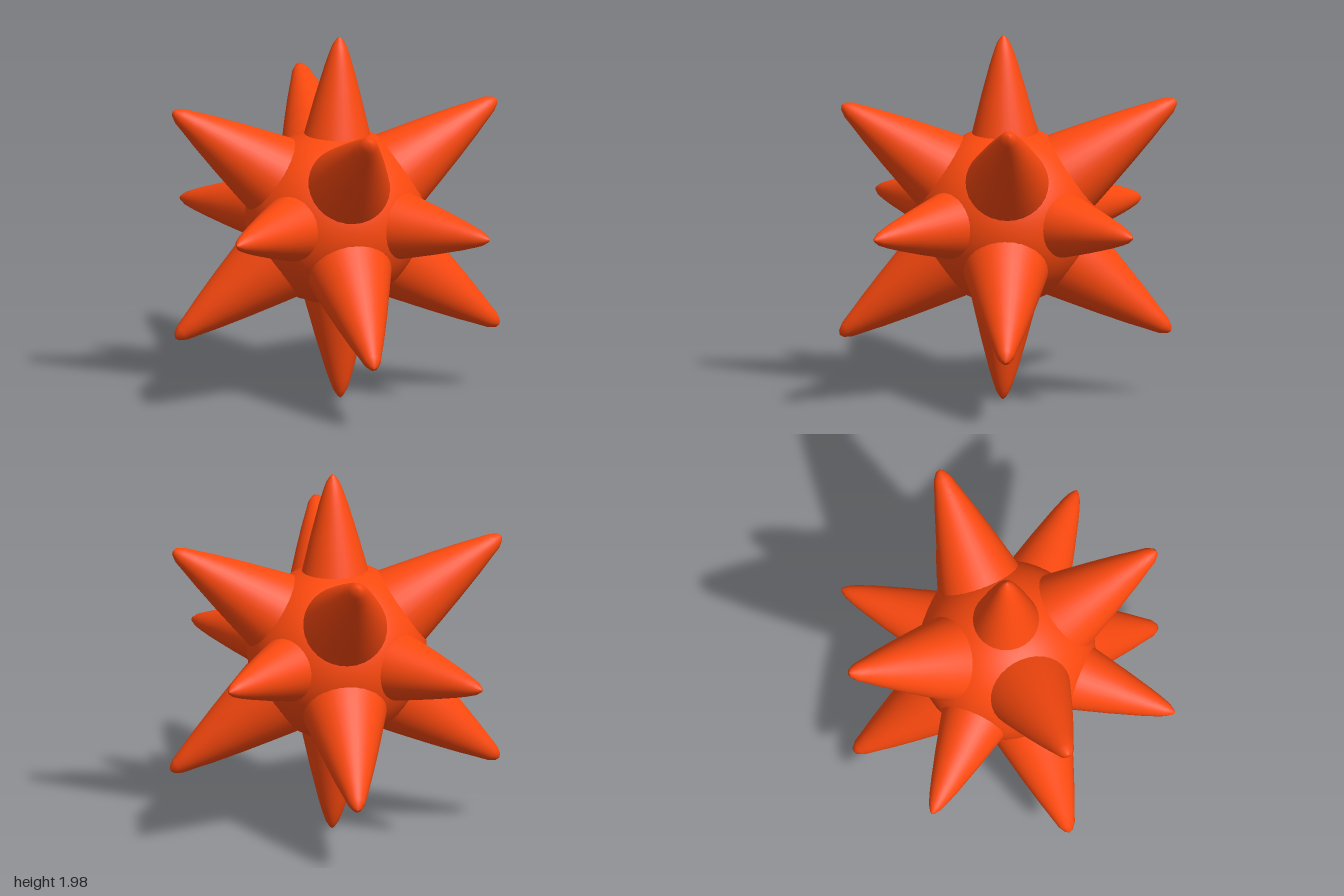
import * as THREE from 'three';

const CENTER = new THREE.Vector3(0, 1, -0.015);

// Spike profiles: [radius, distance from the centre as a fraction of the tip distance]
const SLIM = [[0.235, 0.22], [0.178, 0.45], [0.125, 0.66], [0.078, 0.83], [0.056, 0.9], [0.036, 0.955], [0.013, 0.99], [0, 1]];
const STOUT = [[0.25, 0.28], [0.222, 0.4], [0.187, 0.52], [0.145, 0.66], [0.1, 0.8], [0.068, 0.89], [0.046, 0.955], [0.022, 0.99], [0, 1]];

const SLIM_TIPS = [
  [0.025, 1.978, -0.02], [0.03, 0, -0.02],
  [0.99, 0.985, 0], [-1, 0.965, -0.04],
  [0, 1.015, 0.96], [0, 0.99, -0.962],
];
const STOUT_TIPS = [
  [-0.64, 1.62, -0.66], [0.62, 1.59, -0.645], [-0.635, 1.605, 0.6], [0.62, 1.595, 0.605],
  [-0.62, 0.365, 0.6], [0.64, 0.35, 0.6], [-0.62, 0.365, -0.64], [0.64, 0.355, -0.64],
];

export function createModel() {
  const model = new THREE.Group();
  const material = new THREE.MeshStandardMaterial({ color: 0xff4a0f });

  // Round core
  const body = new THREE.Mesh(new THREE.SphereGeometry(0.48, 48, 32), material);
  body.name = 'body';
  body.position.copy(CENTER);
  model.add(body);

  // Tapered spike growing from the core to a given tip
  function addSpike(name, profile, tip) {
    const axis = new THREE.Vector3(...tip).sub(CENTER);
    const length = axis.length();
    const points = profile.map(([r, t]) => new THREE.Vector2(r, t * length));
    const spike = new THREE.Mesh(new THREE.LatheGeometry(points, 32), material);
    spike.name = name;
    spike.position.copy(CENTER);
    spike.quaternion.setFromUnitVectors(new THREE.Vector3(0, 1, 0), axis.normalize());
    model.add(spike);
  }

  SLIM_TIPS.forEach((tip, i) => addSpike('axisSpike' + (i + 1), SLIM, tip));
  STOUT_TIPS.forEach((tip, i) => addSpike('cornerSpike' + (i + 1), STOUT, tip));
  return model;
}
